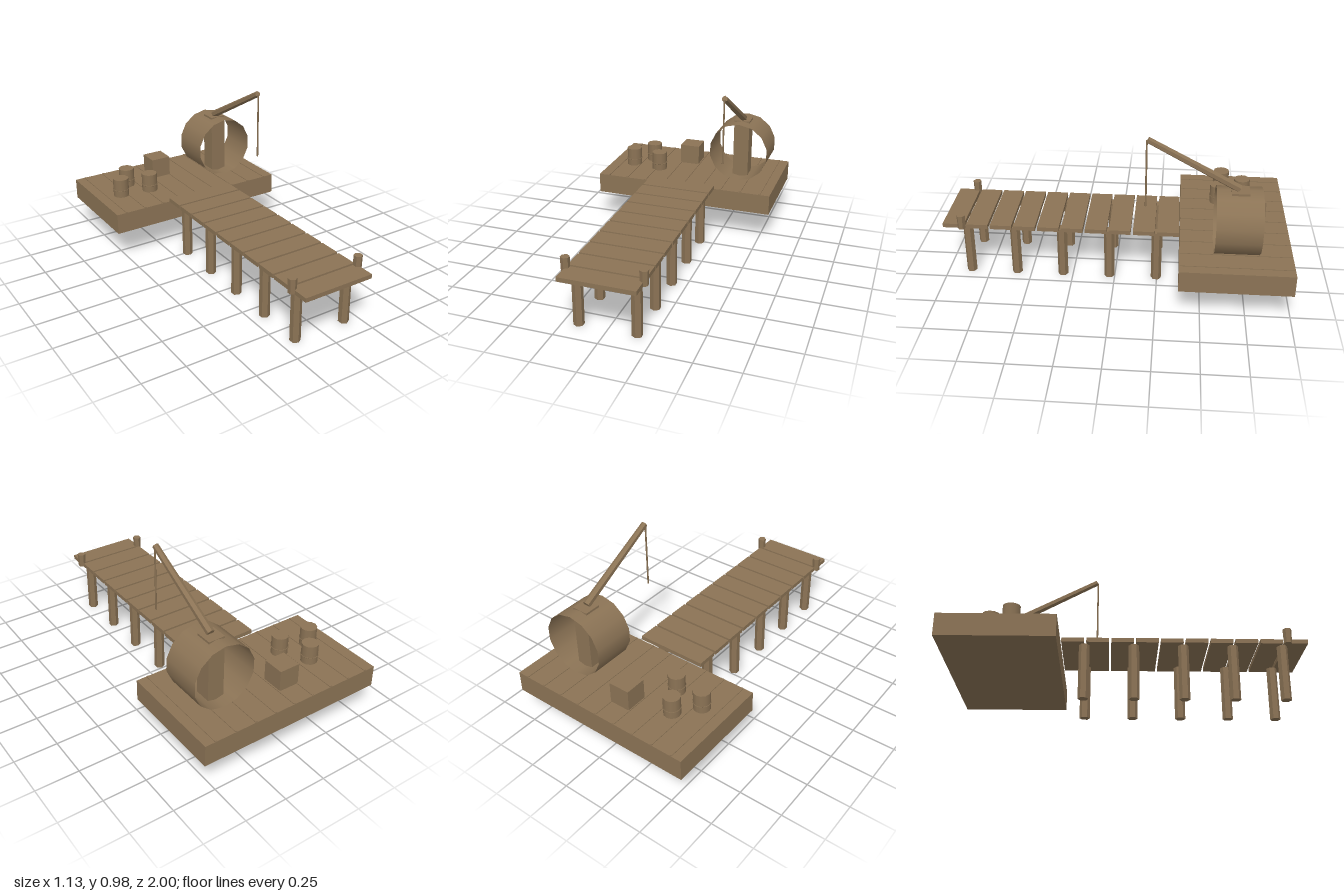
import * as THREE from 'three';

const wood = new THREE.MeshStandardMaterial({ color: 0x8b7355 });
wood.name = 'weathered wood';
const shell = new THREE.MeshStandardMaterial({ color: 0x8b7355, side: THREE.DoubleSide });
shell.name = 'weathered wood sheet';

export function createModel() {
  const model = new THREE.Group();
  model.name = 'dock';

  const add = (name, geometry, x, y, z, material = wood) => {
    const mesh = new THREE.Mesh(geometry, material);
    mesh.name = name;
    mesh.position.set(x, y, z);
    model.add(mesh);
    return mesh;
  };
  const box = (name, w, h, d, x, y, z) => add(name, new THREE.BoxGeometry(w, h, d), x, y, z);
  // Six-sided timber with hard edges
  const hex = (rTop, rBottom, h) => {
    const g = new THREE.CylinderGeometry(rTop, rBottom, h, 6).toNonIndexed();
    g.computeVertexNormals();
    return g;
  };

  // Platform with thin seams running front to back
  box('platform', 1.13, 0.125, 0.625, 0, 0.2525, -0.6875);
  for (let i = -4; i <= 4; i++) {
    box('deckSeam', 0.0125, 0.006, 0.62, i * 0.125, 0.316, -0.6875);
  }

  // Walkway planks
  for (let i = 0; i < 10; i++) {
    box('plank', 0.427, 0.025, 0.125, 0, 0.3295, 0.9375 - i * 0.1385);
  }

  // Piles and mooring posts on both sides
  for (const side of [-1, 1]) {
    for (let i = 0; i < 5; i++) {
      add('pile', hex(0.03, 0.03, 0.317), side * 0.163, 0.1585, 0.863 - i * 0.277);
    }
    add('mooringPost', hex(0.025, 0.023, 0.084), side * 0.213, 0.36, 0.888);
  }

  // Banded barrels
  for (const [x, z] of [[-0.415, -0.628], [-0.315, -0.752], [-0.228, -0.602]]) {
    add('barrel', new THREE.CylinderGeometry(0.048, 0.048, 0.115, 12), x, 0.3725, z);
    const band = add('barrelBand', new THREE.TorusGeometry(0.048, 0.003, 4, 16), x, 0.358, z);
    band.rotation.x = Math.PI / 2;
  }

  // Crate
  box('crate', 0.125, 0.125, 0.125, -0.0635, 0.3775, -0.8125);

  // Open drum lying front to back, with a post inside it
  const cx = 0.3125;
  const drum = add('drum', new THREE.CylinderGeometry(0.1875, 0.1875, 0.25, 14, 1, true),
    cx, 0.5025, -0.6875, shell);
  drum.rotation.x = Math.PI / 2;
  box('cranePost', 0.098, 0.376, 0.098, cx, 0.503, -0.69);

  // Tapered crane boom and hanging rope
  const base = new THREE.Vector3(cx, 0.698, -0.685);
  const tip = new THREE.Vector3(cx, 0.968, -0.188);
  const axis = tip.clone().sub(base);
  const mid = base.clone().add(tip).multiplyScalar(0.5);
  const boom = add('boom', hex(0.018, 0.023, axis.length()), mid.x, mid.y, mid.z);
  boom.rotation.x = Math.atan2(axis.z, axis.y);
  add('rope', new THREE.CylinderGeometry(0.005, 0.005, 0.395, 6), cx, 0.7665, -0.182);

  return model;
}
